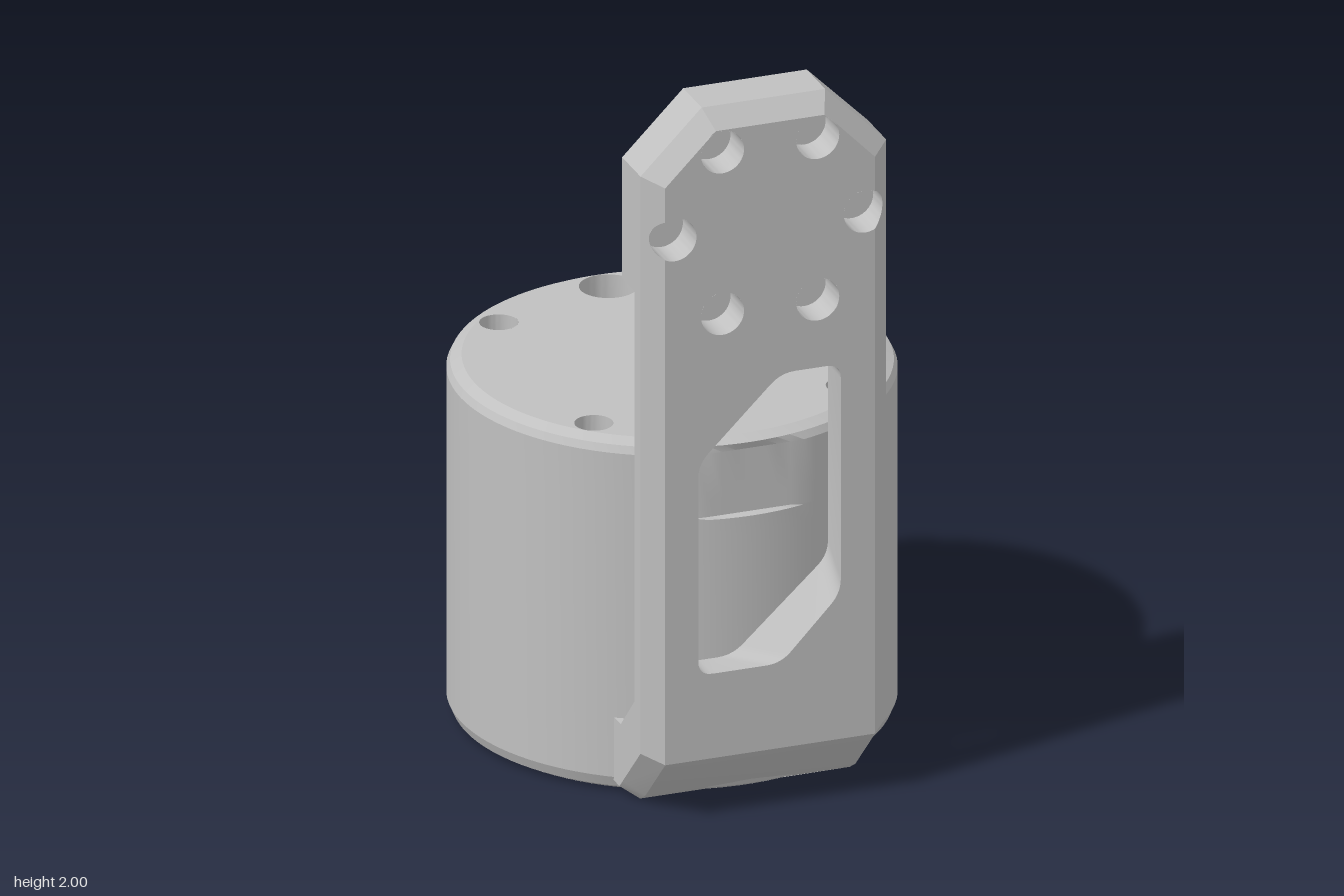
import * as THREE from 'three';
import { toCreasedNormals } from 'three/addons/utils/BufferGeometryUtils.js';

const V = (x, y, z) => new THREE.Vector3(x, y, z);
const grey = new THREE.MeshStandardMaterial({ color: 0xc0c0c0, side: THREE.DoubleSide });
grey.name = 'light grey';

// Skin between successive loops of points
function loft(loops, closed = true) {
  const pts = [];
  for (let k = 0; k < loops.length - 1; k++) {
    const a = loops[k], b = loops[k + 1], n = a.length;
    for (let i = 0; i < (closed ? n : n - 1); i++) {
      const j = (i + 1) % n;
      pts.push(a[i], a[j], b[j], a[i], b[j], b[i]);
    }
  }
  const g = new THREE.BufferGeometry().setFromPoints(pts);
  g.computeVertexNormals();
  return toCreasedNormals(g, 0.5);
}

const poly = pts => new THREE.Shape(pts.map(p => new THREE.Vector2(p[0], p[1])));
const disc = (x, y, r) => new THREE.Shape().absarc(x, y, r, 0, Math.PI * 2);
const flat = (shape, seg = 48) => new THREE.ShapeGeometry(shape, seg);

// Circle of points mapped into space by a rule
function ring(r, place, n = 48) {
  return Array.from({ length: n }, (_, i) => {
    const a = i / n * Math.PI * 2;
    return place(r * Math.cos(a), r * Math.sin(a));
  });
}

// Round polygon corners
function rounded(pts, r) {
  const out = [];
  pts.forEach((p, i) => {
    const c = new THREE.Vector2(...p), n = pts.length;
    const toward = q => new THREE.Vector2(...q).sub(c).setLength(r).add(c);
    const curve = new THREE.QuadraticBezierCurve(toward(pts[(i + n - 1) % n]), c, toward(pts[(i + 1) % n]));
    curve.getPoints(5).forEach(q => out.push([q.x, q.y]));
  });
  return out;
}

export function createModel() {
  const model = new THREE.Group();
  model.name = 'cylinderWithBracket';
  const add = (name, geometry, parent) => {
    const m = new THREE.Mesh(geometry, grey);
    m.name = name;
    parent.add(m);
    return m;
  };
  // Blind hole: wall plus floor
  const well = (name, r, top, floor, parent) =>
    add(name, loft([ring(r, top), ring(r, floor), ring(0, floor)]), parent);

  // ---------- Drum ----------
  const drum = new THREE.Group();
  drum.name = 'drum';
  drum.position.z = -0.067;
  model.add(drum);
  const R = 0.588, RF = 0.548, holeY = 0.785;

  // Wall with chamfered rims, a shallow flat at the front and an opening for the side hole
  const profile = [[RF, 0], [0.575, 0.015], [R, 0.045], [R, 0.735], [R, 0.78], [R, 0.786], [R, 0.835],
    [R, 0.965], [0.578, 0.985], [RF, 1]].map(p => new THREE.Vector2(...p));
  const lathe = new THREE.LatheGeometry(profile, 96).toNonIndexed();
  const p = lathe.attributes.position, kept = [];
  for (let i = 0; i < p.count; i += 3) {
    const t = [0, 1, 2].map(k => new THREE.Vector3().fromBufferAttribute(p, i + k));
    const c = V(0, 0, 0).add(t[0]).add(t[1]).add(t[2]).divideScalar(3);
    if (c.x > 0.5 && Math.abs(c.z) < 0.038 && c.y > 0.735 && c.y < 0.835) continue;
    t.forEach(v => { if (v.y > 0.783 && v.y < 0.97) v.z = Math.min(v.z, 0.57); });
    kept.push(...t);
  }
  const wall = new THREE.BufferGeometry().setFromPoints(kept);
  wall.computeVertexNormals();
  add('drumWall', toCreasedNormals(wall, 0.3), drum);

  // Side hole with its surrounding panel
  const onWall = (u, v) => V(Math.sqrt(R * R - u * u), holeY + v, u);
  const square = ring(1, (c, s) => {
    const m = Math.max(Math.abs(c), Math.abs(s));
    return onWall(c / m * 0.03846, s / m * 0.05);
  });
  add('sideHolePanel', loft([ring(0.025, onWall), square]), drum);
  well('sideHole', 0.025, onWall, (u, v) => V(0.53, holeY + v, u), drum);

  // Top and bottom faces with their holes
  const topHoles = [[0.35, 0.35, 0.051], [-0.35, 0.35, 0.051], [0.35, -0.35, 0.051],
    [-0.35, -0.35, 0.051], [0, -0.468, 0.077]];
  const bottomHoles = [[0, 0, 0.37]];
  for (let i = 0; i < 6; i++) {
    const a = Math.PI / 6 + i * Math.PI / 3;
    bottomHoles.push([0.488 * Math.cos(a), 0.488 * Math.sin(a), 0.05]);
  }
  const face = (name, holes, y, dir) => {
    const s = disc(0, 0, RF);
    holes.forEach(([x, z, r]) => {
      s.holes.push(disc(x, z, r));
      const depth = r > 0.2 ? 0.03 : 0.07;
      well(name + 'Hole', r, (u, v) => V(x + u, y, z + v), (u, v) => V(x + u, y + dir * depth, z + v), drum);
    });
    add(name, flat(s, 96).rotateX(Math.PI / 2).translate(0, y, 0), drum);
  };
  face('drumTop', topHoles, 1, -1);
  face('drumBottom', bottomHoles, 0, 1);

  // ---------- Bracket ----------
  const bracket = new THREE.Group();
  bracket.name = 'bracket';
  model.add(bracket);
  const W = 0.342, B = 0.292, CY = 1.658, Y0 = 0.4;
  const ZF = 0.655, ZM = 0.605, ZB = 0.56;

  // Arm window, its walls narrowing on the diagonals
  const winFront = rounded([[-0.2, 0.41], [0.03, 0.41], [0.197, 0.585], [0.197, 1.235], [0.03, 1.235], [-0.2, 1.01]], 0.04);
  const winBack = rounded([[-0.2, 0.41], [-0.07, 0.41], [0.197, 0.655], [0.197, 1.235], [0.1, 1.235], [-0.2, 0.94]], 0.04);
  add('windowWall', loft([winFront.map(q => V(...q, ZF)), winBack.map(q => V(...q, ZB))]), bracket);

  // Front face; the two outer holes bite into its edges
  const hr = 0.06, hx = 0.265;
  const bite = Math.acos((B - hx) / hr), dy = hr * Math.sin(bite);
  const front = new THREE.Shape();
  front.moveTo(-B, Y0);
  front.lineTo(B, Y0);
  front.lineTo(B, CY - dy);
  front.absarc(hx, CY, hr, -bite, bite, true);
  front.lineTo(B, 1.809);
  front.lineTo(0.151, 1.95);
  front.lineTo(-0.151, 1.95);
  front.lineTo(-B, 1.809);
  front.lineTo(-B, CY + dy);
  front.absarc(-hx, CY, hr, Math.PI - bite, Math.PI + bite, true);
  front.lineTo(-B, Y0);
  front.holes.push(poly(winFront));
  const frontZ = x => ZF - Math.max(0, Math.abs(x) - B);
  for (let i = 0; i < 6; i++) {
    const a = i * Math.PI / 3, x = hx * Math.cos(a), y = CY + hx * Math.sin(a);
    if (i % 3) front.holes.push(disc(x, y, hr));
    well('frontHole', hr, (u, v) => V(x + u, y + v, frontZ(x + u)), (u, v) => V(x + u, y + v, ZF - 0.1), bracket);
  }
  add('armFront', flat(front).translate(0, 0, ZF), bracket);

  // Top chamfers
  add('topChamfer', loft([
    [V(B, 1.809, ZF), V(0.151, 1.95, ZF), V(-0.151, 1.95, ZF), V(-B, 1.809, ZF)],
    [V(W, 1.83, ZM), V(0.172, 2, ZM), V(-0.172, 2, ZM), V(-W, 1.83, ZM)]], false), bracket);

  // Arm back, meeting the head along its lower edges
  const back = poly([[-W, Y0], [W, Y0], [W, 1.486], [0.172, 1.316], [-0.172, 1.316], [-W, 1.486]]);
  back.holes.push(poly(winBack));
  add('armBack', flat(back).translate(0, 0, ZB), bracket);

  // Foot profile (z, y) at the middle and, drawn in, at the sides
  const full = [[ZF, Y0], [ZF, 0.17], [0.51, 0.025], [0.47, 0], [0.2, 0], [0.2, 0.21], [0.46, 0.215], [ZB, 0.32], [ZB, Y0]];
  const inset = [[ZM, Y0], [ZM, 0.19], [0.475, 0.06], [0.45, 0.035], [0.2, 0.035], ...full.slice(5)];
  const at = (pts, x) => pts.map(([z, y]) => V(x, y, z));

  for (const s of [-1, 1]) {
    // Side chamfer with the bite of the outer hole
    const strip = new THREE.Shape();
    strip.moveTo(B, Y0);
    strip.lineTo(W, Y0);
    strip.lineTo(W, 1.83);
    strip.lineTo(B, 1.809);
    strip.lineTo(B, CY + dy);
    strip.absarc(hx, CY, hr, bite, -bite, true);
    strip.lineTo(B, Y0);
    const g = flat(strip), q = g.attributes.position;
    for (let i = 0; i < q.count; i++) q.setXYZ(i, s * q.getX(i), q.getY(i), frontZ(q.getX(i)));
    g.computeVertexNormals();
    add('sideChamfer', g, bracket);
    add('armSide', loft([[V(s * W, Y0, ZB), V(s * W, 1.486, ZB)], [V(s * W, Y0, ZM), V(s * W, 1.486, ZM)]], false), bracket);
    add('footChamfer', loft([at(full, s * B), at(inset, s * W)]), bracket);
    add('footSide', flat(poly(inset)).rotateY(-Math.PI / 2).translate(s * W, 0, 0), bracket);
    // Underside of the foot outside the drum
    const under = [[0.1, 0.47], [B, 0.47]];
    for (let i = 0; i <= 8; i++) {
      const x = B + (0.1 - B) * i / 8;
      under.push([x, Math.sqrt(RF * RF - x * x) - 0.067]);
    }
    add('footUnderside', flat(poly(under.map(([x, z]) => [s * x, z]))).rotateX(Math.PI / 2), bracket);
  }
  add('footFront', loft([at(full.slice(0, 4), -B), at(full.slice(0, 4), B)], false), bracket);
  add('footTop', loft([at(full.slice(5), -W), at(full.slice(5), W)], false), bracket);

  // Octagonal head with a chamfered back and a blind bore
  const octagon = (h, c) => [[h, -c], [h, c], [c, h], [-c, h], [-h, c], [-h, -c], [-c, -h], [c, -h]].map(([x, y]) => [x, y + CY]);
  const outer = octagon(W, 0.172), inner = octagon(0.302, 0.155);
  add('headSides', loft([outer.map(q => V(...q, ZM)), outer.map(q => V(...q, 0.47)), inner.map(q => V(...q, 0.43))]), bracket);
  const headBack = poly(inner);
  headBack.holes.push(disc(0, CY, 0.195));
  add('headBack', flat(headBack).translate(0, 0, 0.43), bracket);
  well('headBore', 0.195, (u, v) => V(u, CY + v, 0.43), (u, v) => V(u, CY + v, 0.58), bracket);

  return model;
}
